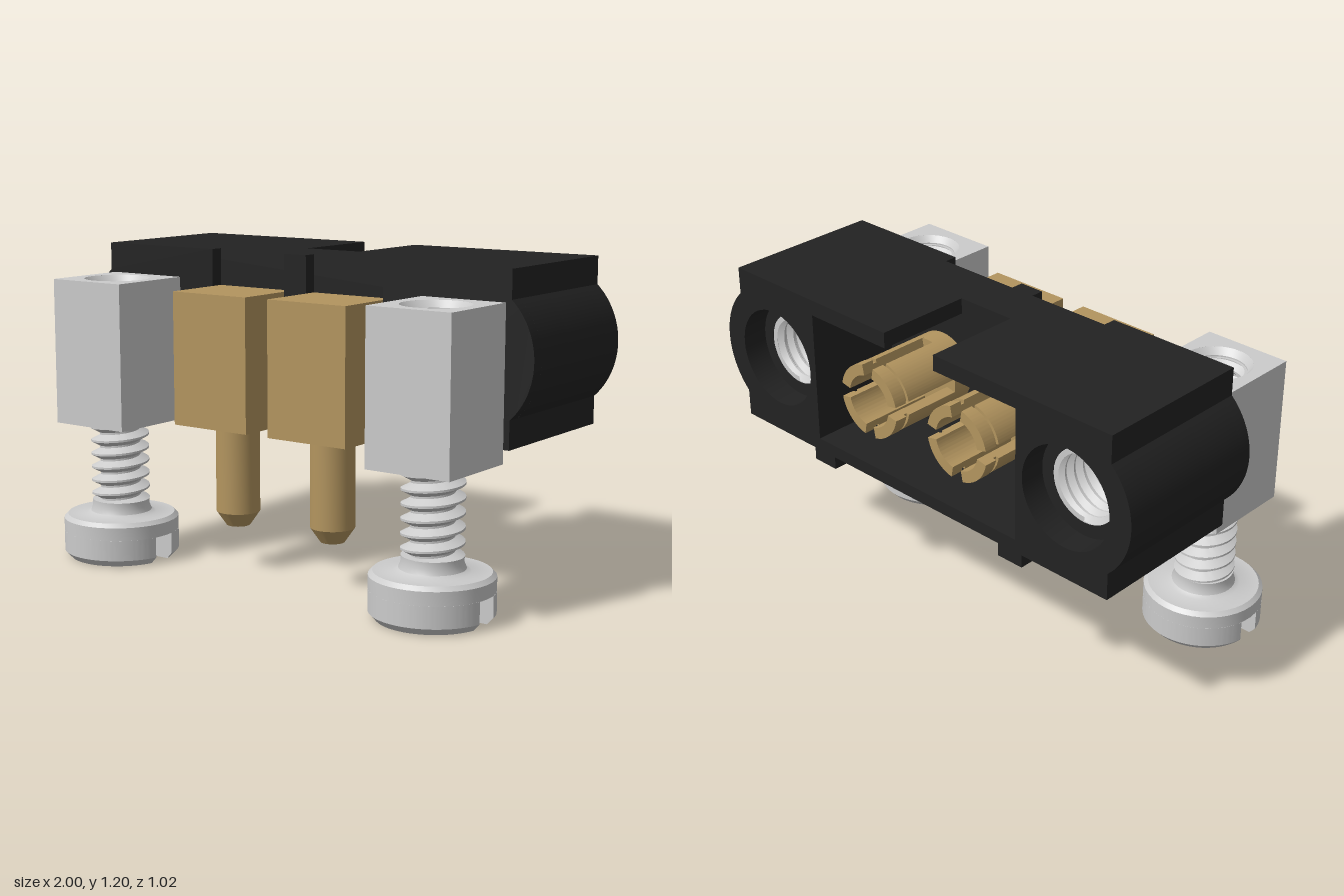
import * as THREE from 'three';
import { toCreasedNormals } from 'three/addons/utils/BufferGeometryUtils.js';

const black = new THREE.MeshStandardMaterial({ color: 0x222222 });
black.name = 'black plastic';
const brass = new THREE.MeshStandardMaterial({ color: 0xb3955f });
brass.name = 'brass';
const silver = new THREE.MeshStandardMaterial({ color: 0xcbcbcb });
silver.name = 'silver metal';

const SCREW_X = 0.72, PIN_X = 0.22, MID_Y = 0.89, SCREW_Z = 0.285;
const EAR_R = 0.28, EAR_A = Math.acos(0.19 / EAR_R);

function add(parent, name, geo, mat, x = 0, y = 0, z = 0) {
  const m = new THREE.Mesh(geo, mat);
  m.name = name;
  m.position.set(x, y, z);
  parent.add(m);
  return m;
}
function extrude(shape, z0, z1, steps = 1) {
  const g = new THREE.ExtrudeGeometry(shape, { depth: z1 - z0, bevelEnabled: false, curveSegments: 24, steps });
  g.translate(0, 0, z0);
  return toCreasedNormals(g, 0.6);
}
function lathe(pts, seg = 40) {
  return toCreasedNormals(new THREE.LatheGeometry(pts.map(p => new THREE.Vector2(p[0], p[1])), seg), 0.6);
}
function circlePath(x, y, r) {
  return new THREE.Path().absarc(x, y, r, 0, Math.PI * 2, true);
}

// Helical thread: a zigzag lathe sheared along its axis, clamped at both ends
function thread(rootR, crestR, pitch, lo, hi, inner = false) {
  const pts = [];
  const n = Math.ceil((hi - lo) / pitch) + 1;
  for (let k = -1; k <= n; k++) {
    pts.push(new THREE.Vector2(rootR, lo + k * pitch), new THREE.Vector2(rootR, lo + (k + 0.15) * pitch));
    pts.push(new THREE.Vector2(crestR, lo + (k + 0.5) * pitch), new THREE.Vector2(crestR, lo + (k + 0.65) * pitch));
  }
  if (inner) pts.reverse();
  const g = new THREE.LatheGeometry(pts, 36);
  const p = g.attributes.position, uv = g.attributes.uv;
  for (let i = 0; i < p.count; i++) {
    p.setY(i, Math.min(hi, Math.max(lo, p.getY(i) + uv.getX(i) * pitch)));
  }
  return toCreasedNormals(g, 0.5);
}

// Housing cross-section with rounded ears, feet and an optional open cavity
function housingShape(cavity, holeR) {
  const s = new THREE.Shape();
  s.moveTo(-0.42, 0.58);
  for (const [x, y] of [[0.42, 0.58], [0.42, 0.53], [0.53, 0.53], [0.53, 0.58], [0.91, 0.58]]) s.lineTo(x, y);
  s.absarc(SCREW_X, MID_Y, EAR_R, -EAR_A, EAR_A, false);
  s.lineTo(0.91, 1.2);
  if (cavity) {
    for (const [x, y] of [[0.12, 1.2], [0.12, 1.14], [0.5, 1.14], [0.5, 0.63],
      [-0.5, 0.63], [-0.5, 1.14], [-0.12, 1.14], [-0.12, 1.2]]) s.lineTo(x, y);
  }
  s.lineTo(-0.91, 1.2);
  s.absarc(-SCREW_X, MID_Y, EAR_R, Math.PI - EAR_A, Math.PI + EAR_A, false);
  for (const [x, y] of [[-0.91, 0.58], [-0.53, 0.58], [-0.53, 0.53], [-0.42, 0.53]]) s.lineTo(x, y);
  s.closePath();
  for (const d of [-1, 1]) s.holes.push(circlePath(d * SCREW_X, MID_Y, holeR));
  return s;
}

// Front layer of the housing, outside the recesses for the brass blocks
function frontCheek(d) {
  const s = new THREE.Shape();
  s.moveTo(0.39 * d, 0.58);
  for (const [x, y] of [[0.42, 0.58], [0.42, 0.53], [0.53, 0.53], [0.53, 0.58], [0.91, 0.58]]) s.lineTo(x * d, y);
  for (let i = 0; i <= 24; i++) {
    const a = -EAR_A + (2 * EAR_A * i) / 24;
    s.lineTo(d * (SCREW_X + EAR_R * Math.cos(a)), MID_Y + EAR_R * Math.sin(a));
  }
  s.lineTo(0.91 * d, 1.2);
  s.lineTo(0.39 * d, 1.2);
  s.closePath();
  return s;
}

function makeHousing() {
  const g = new THREE.Group();
  g.name = 'housing';
  add(g, 'counterboredRim', extrude(housingShape(true, 0.19), -0.51, -0.41), black);
  add(g, 'cavityWalls', extrude(housingShape(true, 0.14), -0.41, -0.13), black);
  add(g, 'rearWall', extrude(housingShape(false, 0.14), -0.13, 0.06), black);
  for (const d of [-1, 1]) add(g, 'frontCheek', extrude(frontCheek(d), 0.06, 0.11), black);
  add(g, 'centreRib', new THREE.BoxGeometry(0.1, 0.62, 0.05), black, 0, 0.89, 0.085);
  return g;
}

// One quarter leaf of a slotted socket
function leaf(r0, r1, quarter) {
  const start = quarter * Math.PI / 2, gap = 0.19;
  const s = new THREE.Shape();
  s.absarc(0, 0, r1, start + gap, start + Math.PI / 2 - gap, false);
  s.absarc(0, 0, r0, start + Math.PI / 2 - gap, start + gap, true);
  s.closePath();
  return s;
}

function makeContact(x) {
  const g = new THREE.Group();
  g.name = 'contact';
  add(g, 'contactBlock', new THREE.BoxGeometry(0.34, 0.5, 0.28), brass, x, 0.81, 0.2);
  add(g, 'solderPin', lathe([[0, 0.17], [0.045, 0.17], [0.083, 0.225], [0.083, 0.57]]), brass, x, 0, 0.176);
  for (let q = 0; q < 4; q++) {
    add(g, 'socketLip', extrude(leaf(0.1, 0.142, q), -0.505, -0.455), brass, x, MID_Y);
    add(g, 'socketNeck', extrude(leaf(0.1, 0.128, q), -0.455, -0.44), brass, x, MID_Y);
    add(g, 'socketLeaf', extrude(leaf(0.1, 0.14, q), -0.44, -0.2), brass, x, MID_Y);
  }
  // solid root of the socket
  const root = new THREE.CylinderGeometry(0.14, 0.14, 0.09, 40).rotateX(Math.PI / 2);
  add(g, 'socketRoot', root, brass, x, MID_Y, -0.165);
  return g;
}

// Half of the slotted lower part of a screw head, chamfered at the bottom
function headHalf(sign) {
  const R = 0.222, w = 0.045, a = Math.asin(w / R);
  const s = new THREE.Shape();
  s.absarc(0, 0, R, a, Math.PI - a, false);
  s.closePath();
  const g = new THREE.ExtrudeGeometry(s, { depth: 0.105, bevelEnabled: false, curveSegments: 40, steps: 4 });
  const p = g.attributes.position;
  for (let i = 0; i < p.count; i++) {
    if (p.getZ(i) < 0.001) {
      p.setX(i, p.getX(i) * 0.89);
      p.setY(i, Math.max(w, p.getY(i) * 0.89));
    }
  }
  g.rotateX(-Math.PI / 2);
  if (sign > 0) g.rotateY(Math.PI);
  return toCreasedNormals(g, 0.5);
}

function makeScrew(x) {
  const g = new THREE.Group();
  g.name = 'screw';
  g.position.set(x, 0, SCREW_Z);
  for (const d of [-1, 1]) add(g, 'slottedHead', headHalf(d), silver);
  add(g, 'headAndCollar', lathe([[0, 0.105], [0.222, 0.105], [0.222, 0.155], [0.207, 0.17],
    [0.135, 0.17], [0.118, 0.18], [0.11, 0.2], [0.11, 0.225], [0, 0.225]]), silver);
  add(g, 'screwThread', thread(0.078, 0.112, 0.052, 0.225, 0.9), silver);
  add(g, 'screwTip', lathe([[0.11, 0.88], [0.08, 0.92], [0, 0.92]]), silver);
  return g;
}

function makeNutBlock(x) {
  const g = new THREE.Group();
  g.name = 'nutBlock';
  const s = new THREE.Shape();
  s.moveTo(-0.1675, -0.1725);
  s.lineTo(0.1675, -0.1725);
  s.lineTo(0.1675, 0.1725);
  s.lineTo(-0.1675, 0.1725);
  s.closePath();
  s.holes.push(circlePath(0, 0, 0.125));
  add(g, 'block', extrude(s, 0.53, 1.085).rotateX(-Math.PI / 2), silver, x, 0, 0.2825);
  add(g, 'holeChamfer', lathe([[0.125, 1.085], [0.105, 1.06], [0.105, 1.05]]), silver, x, 0, 0.2825);
  add(g, 'holeThread', thread(0.118, 0.095, 0.052, 0.88, 1.055, true), silver, x, 0, 0.2825);
  // threaded insert reaching into the housing
  add(g, 'insertThread', thread(0.139, 0.118, 0.045, -0.41, 0.05, true).rotateX(Math.PI / 2), silver, x, MID_Y);
  const floor = new THREE.CylinderGeometry(0.14, 0.14, 0.02, 36).rotateX(Math.PI / 2);
  add(g, 'insertFloor', floor, silver, x, MID_Y, 0.045);
  return g;
}

export function createModel() {
  const model = new THREE.Group();
  model.name = 'screwLockConnector';
  model.add(makeHousing());
  for (const d of [-1, 1]) {
    model.add(makeContact(d * PIN_X), makeNutBlock(d * SCREW_X), makeScrew(d * SCREW_X));
  }
  return model;
}
